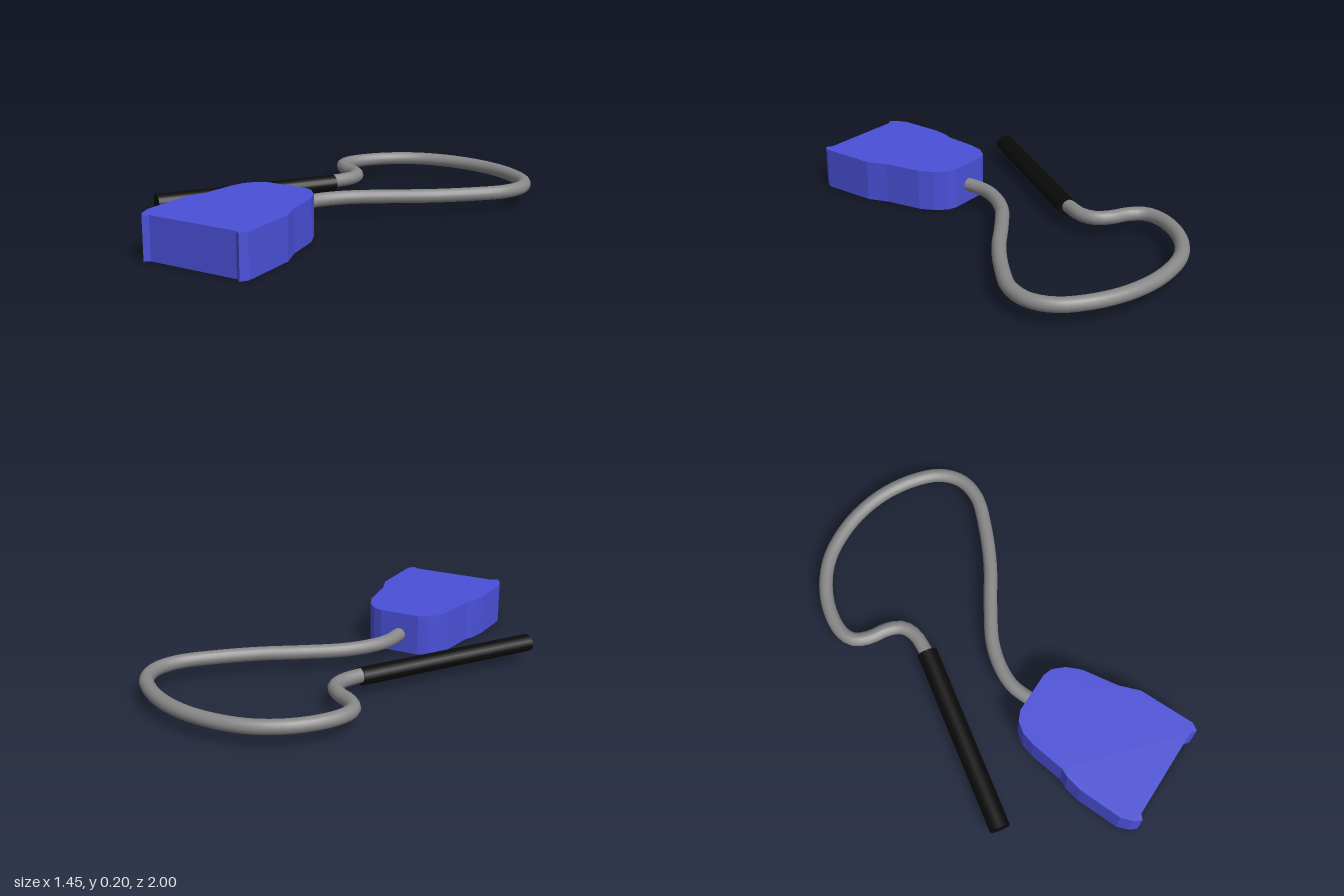
import * as THREE from 'three';

export function createModel() {
  const group = new THREE.Group();
  const add = (name, geometry, color) => {
    const mesh = new THREE.Mesh(geometry, new THREE.MeshStandardMaterial({ color }));
    mesh.name = name;
    group.add(mesh);
    return mesh;
  };

  // Flat body: outline in x, z extruded upwards
  const outline = [
    [-0.2, 0.275], [0, 0.275], [0.045, 0.29], [0.09, 0.34], [0.12, 0.41],
    [0.145, 0.59], [0.18, 0.69], [0.175, 0.965], [0.152, 0.998], [0.125, 0.978],
    [-0.312, 0.978], [-0.335, 0.998], [-0.36, 0.965], [-0.378, 0.91], [-0.368, 0.7],
    [-0.35, 0.62], [-0.33, 0.58], [-0.305, 0.41], [-0.285, 0.345], [-0.245, 0.295],
  ];
  const shape = new THREE.Shape(outline.map(([x, z]) => new THREE.Vector2(x, -z)));
  const body = new THREE.ExtrudeGeometry(shape, { depth: 0.2, bevelEnabled: false });
  body.rotateX(-Math.PI / 2);
  add('body', body, 0x4a50d8);

  // Looping cable from the back of the body to the handle
  const path = [
    [-0.1, 0.29], [-0.09, 0.17], [-0.05, 0.08], [0.04, -0.03], [0.19, -0.14],
    [0.38, -0.265], [0.54, -0.4], [0.65, -0.52], [0.687, -0.635], [0.655, -0.745],
    [0.56, -0.84], [0.43, -0.915], [0.29, -0.957], [0.15, -0.968], [-0.01, -0.945],
    [-0.14, -0.88], [-0.245, -0.78], [-0.305, -0.67], [-0.305, -0.6], [-0.255, -0.54],
    [-0.18, -0.495], [-0.13, -0.44], [-0.125, -0.37], [-0.18, -0.25],
  ];
  const curve = new THREE.CatmullRomCurve3(path.map(([x, z]) => new THREE.Vector3(x, 0.089, z)));
  add('cable', new THREE.TubeGeometry(curve, 90, 0.033, 16), 0x888888).material.side = THREE.DoubleSide;

  // Straight handle rod, slightly flattened vertically
  const start = new THREE.Vector3(-0.688, 0.082, 0.481);
  const end = new THREE.Vector3(-0.167, 0.082, -0.267);
  const axis = end.clone().sub(start);
  const rod = new THREE.CylinderGeometry(0.048, 0.048, axis.length(), 20);
  rod.applyQuaternion(new THREE.Quaternion().setFromUnitVectors(
    new THREE.Vector3(0, 1, 0), axis.clone().normalize()));
  rod.scale(1, 0.84, 1);
  add('handle', rod, 0x0a0a0a).position.copy(start).add(end).multiplyScalar(0.5);

  return group;
}
